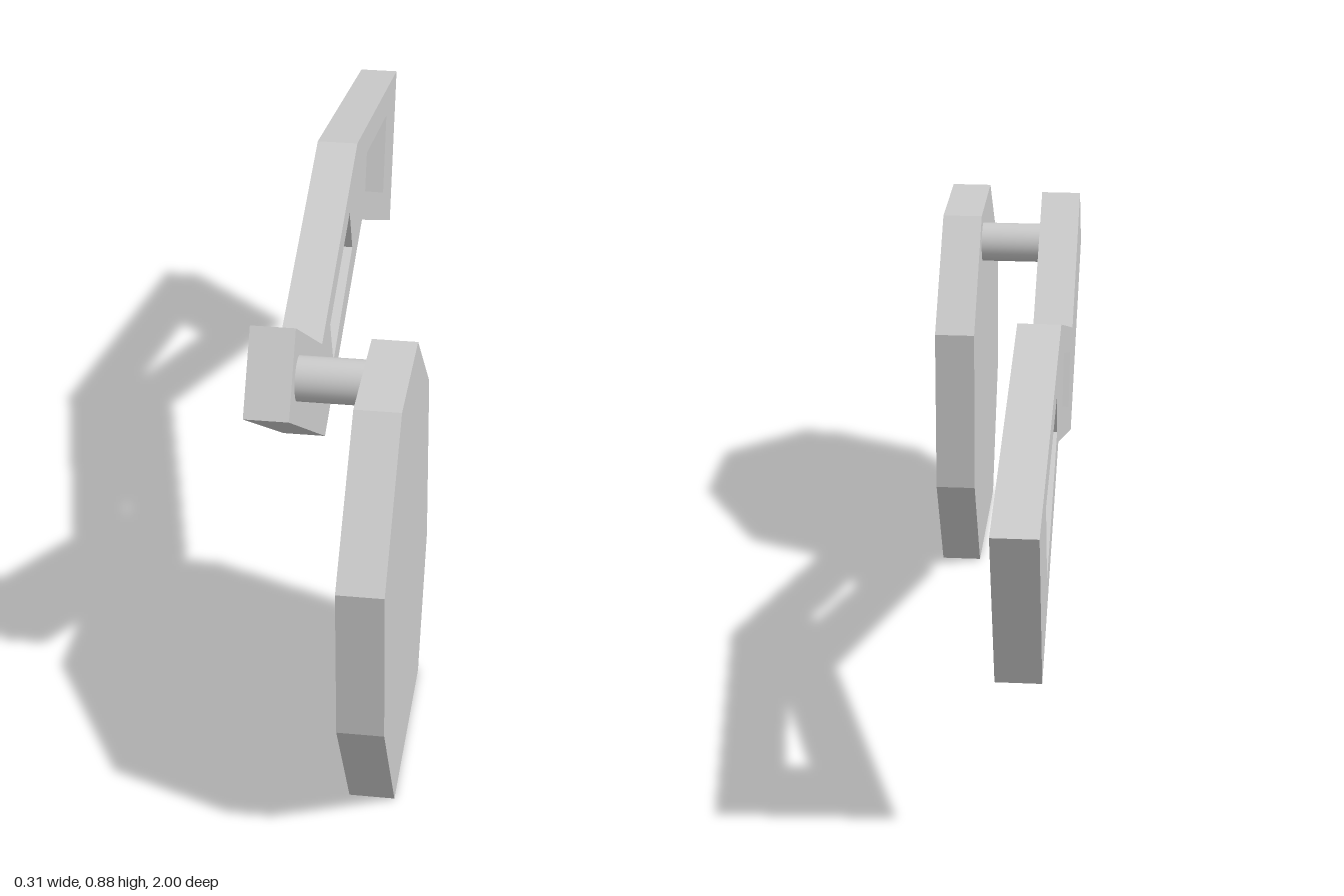
import * as THREE from 'three';

const material = new THREE.MeshStandardMaterial({ color: 0xcccccc, flatShading: true });
const smooth = new THREE.MeshStandardMaterial({ color: 0xcccccc });

// Side profiles are lists of [z, y], clockwise from +x; the shape's own x runs
// along -z. Reversed to counter-clockwise so walls of holes face inward.
const toPoints = (profile) => profile.map(([z, y]) => new THREE.Vector2(-z, y)).reverse();

// Flat plate cut from a side profile, from x0 to x1
function plate(name, profile, holes, x0, x1) {
  const shape = new THREE.Shape(toPoints(profile));
  for (const hole of holes) shape.holes.push(new THREE.Path(toPoints(hole)));
  const geometry = new THREE.ExtrudeGeometry(shape, { depth: x1 - x0, bevelEnabled: false });
  geometry.rotateY(Math.PI / 2).translate(x0, 0, 0);
  const mesh = new THREE.Mesh(geometry, material);
  mesh.name = name;
  return mesh;
}

export function createModel() {
  const group = new THREE.Group();
  group.name = 'pedalCrank';

  // Eight-sided foot plate
  group.add(plate('footPlate', [
    [1, 0.599], [0.757, 0.833], [0.502, 0.833], [0.287, 0.62],
    [0.287, 0.248], [0.43, 0], [0.835, 0], [1, 0.29],
  ], [], 0.067, 0.155));

  // Bent arm with two windows
  group.add(plate('arm', [
    [0.557, 0.877], [0.243, 0.662], [-0.29, 0.859], [-1, 0.722],
    [-0.875, 0.375], [-0.36, 0.638], [0.22, 0.428], [0.655, 0.731],
  ], [
    [[0.132, 0.645], [-0.165, 0.753], [-0.202, 0.651], [0.092, 0.533]],
    [[-0.445, 0.763], [-0.8, 0.694], [-0.74, 0.518], [-0.415, 0.682]],
  ], -0.155, -0.068));

  // Round pin joining arm and plate
  const pin = new THREE.Mesh(new THREE.CylinderGeometry(0.044, 0.044, 0.137, 32), smooth);
  pin.rotation.z = Math.PI / 2;
  pin.position.set(0, 0.76, 0.542);
  pin.name = 'pin';
  group.add(pin);

  return group;
}
